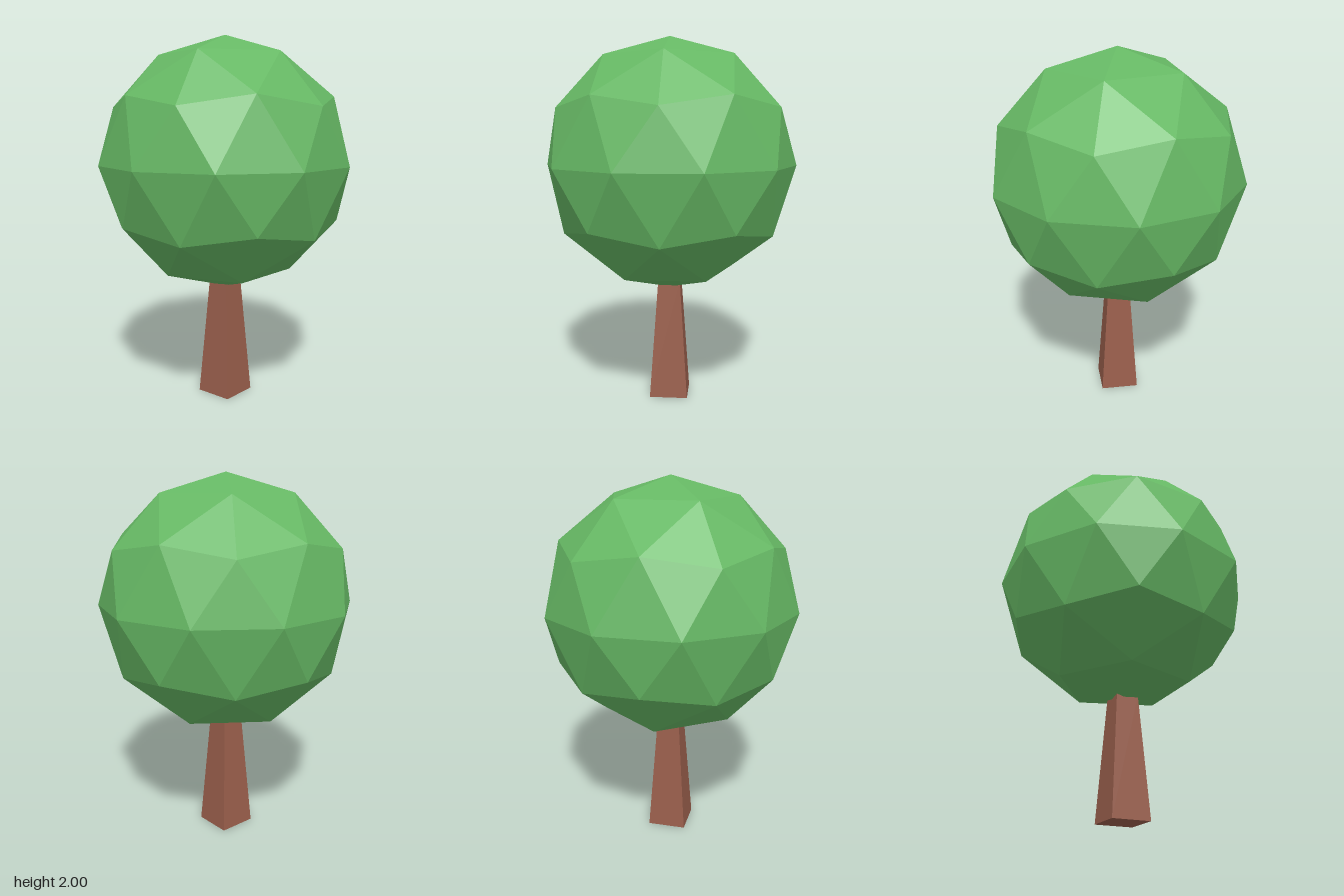
import * as THREE from 'three';

const mat = (color) => new THREE.MeshStandardMaterial({ color, flatShading: true });

export function createModel() {
  const tree = new THREE.Group();
  tree.name = 'tree';

  // Crown: once-subdivided icosahedron, turned so one corner points straight up
  const radius = 0.69;
  const golden = (1 + Math.sqrt(5)) / 2;
  const crownGeometry = new THREE.IcosahedronGeometry(radius, 1);
  crownGeometry.rotateX(-Math.atan(golden)).rotateY(Math.PI / 2);
  const crown = new THREE.Mesh(crownGeometry, mat(0x66b864));
  crown.name = 'crown';
  crown.position.y = 2 - radius;
  tree.add(crown);

  // Trunk: tapered square post whose top is sunk slightly into the crown
  const height = 0.66, topHalf = 0.061, baseHalf = 0.105;
  const trunkGeometry = new THREE.CylinderGeometry(
    topHalf * Math.SQRT2, baseHalf * Math.SQRT2, height, 4);
  trunkGeometry.rotateY(Math.PI / 4);
  const trunk = new THREE.Mesh(trunkGeometry, mat(0x9a5f4c));
  trunk.name = 'trunk';
  trunk.position.y = height / 2;
  tree.add(trunk);

  return tree;
}
